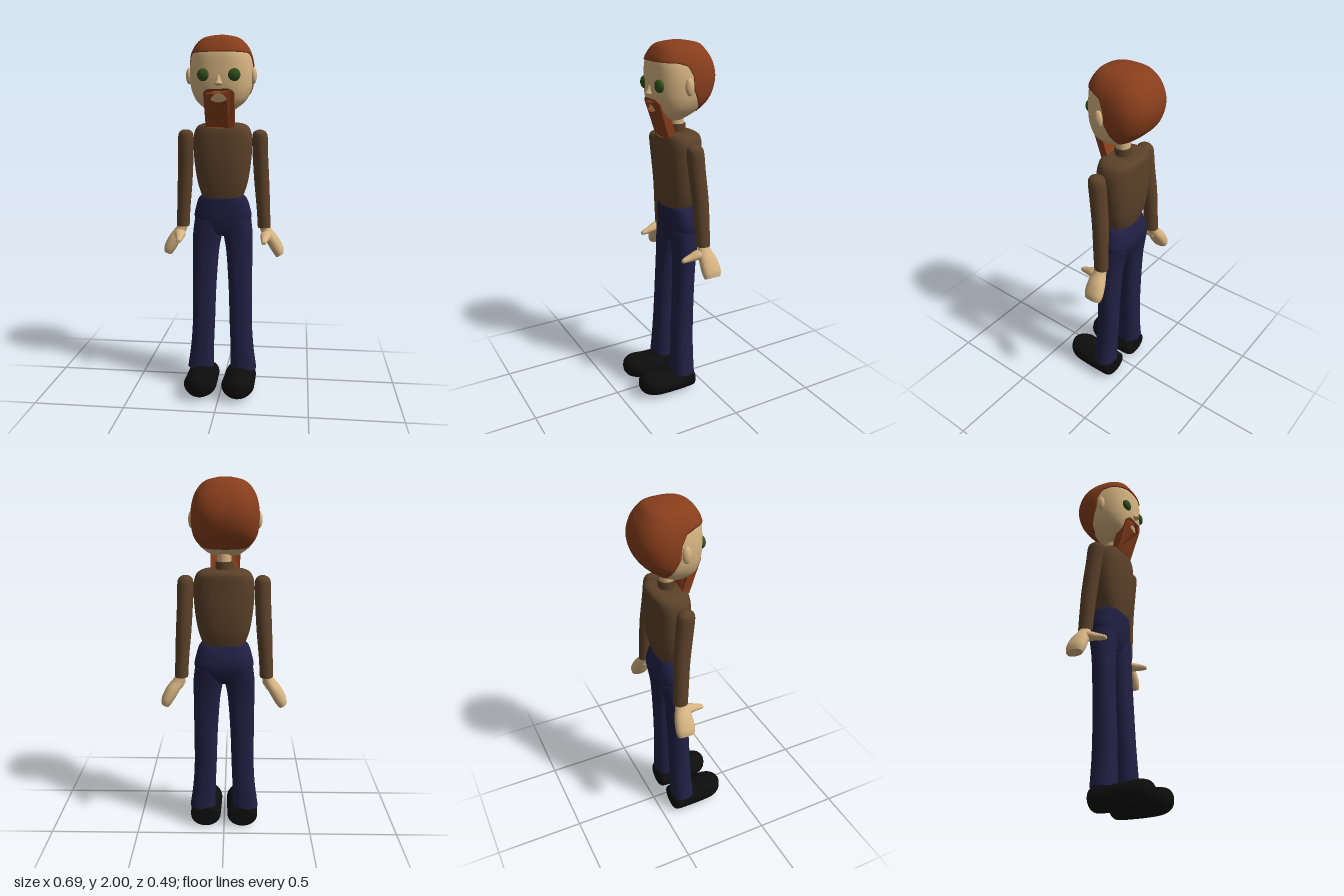
import * as THREE from 'three';

const SKIN = 0xd6b482, HAIR = 0x883e1c, SWEATER = 0x5b4129, TROUSERS = 0x212044, SHOE = 0x0d0d0d, EYE = 0x32501a;

function mesh(name, geometry, color) {
  const m = new THREE.Mesh(geometry, new THREE.MeshStandardMaterial({ color, side: THREE.DoubleSide }));
  m.name = name;
  return m;
}

// Smooth interpolation of section parameters at fractional index u
function sample(rings, u) {
  const last = rings.length - 1, k = Math.min(Math.floor(u), last - 1), t = u - k;
  const at = i => rings[Math.max(0, Math.min(last, i))];
  return rings[k].map((p1, c) => {
    const p2 = at(k + 1)[c], m1 = (p2 - at(k - 1)[c]) / 2, m2 = (at(k + 2)[c] - p1) / 2;
    const t2 = t * t, t3 = t2 * t;
    return p1 * (2 * t3 - 3 * t2 + 1) + m1 * (t3 - 2 * t2 + t) + p2 * (3 * t2 - 2 * t3) + m2 * (t3 - t2);
  });
}

// Point on a rounded-square section [x, y, z, rx, rz, exponent, tilt]
function sectionPoint([x, y, z, rx, rz, n = 2, tilt = 0], a, grow = 1) {
  const c = Math.cos(a), s = Math.sin(a);
  const r = grow / Math.pow(Math.abs(c) ** n + Math.abs(s) ** n, 1 / n);
  return [x + rx * c * r, y + tilt * rx * c * r, z + rz * s * r];
}

// Grid closed around its columns, rows running upward
function grid(rows, cols, point, caps = []) {
  const pos = [], idx = [];
  for (let j = 0; j < rows; j++) for (let i = 0; i < cols; i++) pos.push(...point(i, j));
  for (let j = 0; j < rows - 1; j++) for (let i = 0; i < cols; i++) {
    const a = j * cols + i, b = j * cols + (i + 1) % cols;
    idx.push(a, a + cols, b, b, a + cols, b + cols);
  }
  for (const [row, center, up] of caps) {
    const base = pos.length / 3;
    for (let i = 0; i < cols; i++) pos.push(...point(i, row));
    pos.push(...center);
    for (let i = 0; i < cols; i++) {
      const a = base + i, b = base + (i + 1) % cols;
      idx.push(...(up ? [a, base + cols, b] : [a, b, base + cols]));
    }
  }
  const g = new THREE.BufferGeometry();
  g.setAttribute('position', new THREE.Float32BufferAttribute(pos, 3));
  g.setIndex(idx);
  g.computeVertexNormals();
  return g;
}

function loft(rings, cols = 32, sub = 5) {
  const rows = (rings.length - 1) * sub + 1;
  const cuts = Array.from({ length: rows }, (_, j) => sample(rings, j / sub));
  return grid(rows, cols, (i, j) => sectionPoint(cuts[j], i / cols * Math.PI * 2),
    [[0, cuts[0].slice(0, 3), false], [rows - 1, cuts[rows - 1].slice(0, 3), true]]);
}

// Ring from half width and front/back limits
const span = (x, y, rx, z0, z1, n = 2.6) => [x, y, (z0 + z1) / 2, rx, (z1 - z0) / 2, n];

const HX = -0.006;
const headRings = [
  span(HX, 1.60, 0.075, 0.09, 0.205), span(HX, 1.645, 0.13, 0.02, 0.238),
  span(HX, 1.70, 0.16, -0.04, 0.257), span(HX, 1.76, 0.171, -0.07, 0.265),
  span(HX, 1.83, 0.172, -0.08, 0.265), span(HX, 1.90, 0.158, -0.062, 0.26),
  span(HX, 1.95, 0.13, -0.03, 0.236), span(HX, 1.98, 0.092, 0, 0.205), span(HX, 1.994, 0.035, 0.07, 0.14),
];

// Hair shell: its lower edge runs over the forehead and drops behind the ears
function hairGeometry() {
  const edge = [[-1, 0.9], [-0.7, 1], [-0.25, 2], [0, 3], [0.06, 4], [0.2, 4.7], [0.5, 4.95], [1.01, 5]];
  const cols = 96, rows = 26, top = headRings.length - 1;
  const low = a => {
    const s = sectionPoint([0, 0, 0, 1, 1, 2.6], a)[2];
    const k = Math.max(0, edge.findIndex(e => e[0] > s) - 1), [z0, u0] = edge[k], [z1, u1] = edge[k + 1];
    return u0 + (u1 - u0) * (s - z0) / (z1 - z0);
  };
  return grid(rows, cols, (i, j) => {
    const a = i / cols * Math.PI * 2, l = low(a);
    const u = l + (top - l) * Math.max(0, j - 1) / (rows - 2);
    const p = sectionPoint(sample(headRings, u), a, j === 0 ? 0.97 : 1.03);
    p[1] += 0.004 * u / top;
    return p;
  }, [[rows - 1, [HX, 2, 0.105], true]]);
}

// Beard plate with a mouth opening, leaning back toward its lower end
function beardGeometry() {
  const s = new THREE.Shape();
  s.moveTo(-0.078, 1.51);
  s.quadraticCurveTo(0, 1.495, 0.078, 1.51);
  s.lineTo(0.083, 1.69);
  s.quadraticCurveTo(0.07, 1.71, 0.05, 1.712);
  s.lineTo(-0.05, 1.712);
  s.quadraticCurveTo(-0.07, 1.71, -0.083, 1.69);
  const hole = new THREE.Path();
  hole.moveTo(-0.045, 1.655);
  hole.quadraticCurveTo(-0.03, 1.688, 0, 1.688);
  hole.quadraticCurveTo(0.03, 1.688, 0.045, 1.655);
  hole.quadraticCurveTo(0, 1.628, -0.045, 1.655);
  s.holes.push(hole);
  const g = new THREE.ExtrudeGeometry(s, { depth: 0.045, bevelEnabled: false, curveSegments: 10 });
  const p = g.attributes.position;
  for (let i = 0; i < p.count; i++) {
    const x = p.getX(i), d = Math.max(0, 1.7 - p.getY(i));
    p.setXYZ(i, x + HX, p.getY(i), p.getZ(i) + 0.226 - 0.2 * d - 0.7 * d * d - 2.5 * x * x);
  }
  g.computeVertexNormals();
  return g;
}

function ellipsoid(name, color, x, y, z, rx, ry, rz) {
  const m = mesh(name, new THREE.SphereGeometry(1, 24, 16), color);
  m.position.set(x, y, z);
  m.scale.set(rx, ry, rz);
  return m;
}

export function createModel() {
  const root = new THREE.Group();
  root.name = 'figure';

  // Head
  const head = new THREE.Group();
  head.name = 'head';
  head.add(mesh('face', loft(headRings, 48), SKIN), mesh('hair', hairGeometry(), HAIR), mesh('beard', beardGeometry(), HAIR));
  head.add(mesh('nose', loft([
    [HX, 1.728, 0.255, 0.012, 0.01], [HX, 1.738, 0.262, 0.022, 0.026],
    [HX, 1.755, 0.26, 0.016, 0.02], [HX, 1.79, 0.257, 0.008, 0.008]], 16), SKIN));
  for (const s of [1, -1]) {
    head.add(ellipsoid('eye', EYE, HX + s * 0.079, 1.785, 0.248, 0.036, 0.035, 0.024));
    head.add(ellipsoid('ear', SKIN, HX + s * 0.176, 1.783, 0.128, 0.018, 0.045, 0.024));
  }
  root.add(head);

  // Neck and collar
  root.add(mesh('neck', loft([[0, 1.5, 0.105, 0.038, 0.038], [0, 1.65, 0.108, 0.038, 0.038]], 24), SKIN));
  root.add(mesh('collar', loft([[0, 1.5, 0.103, 0.046, 0.045], [0, 1.57, 0.105, 0.046, 0.045]], 24), SWEATER));

  // Torso and hips
  root.add(mesh('torso', loft([
    span(0, 1.115, 0.112, 0.035, 0.185), span(0, 1.2, 0.14, 0.012, 0.2), span(0, 1.32, 0.158, 0, 0.21),
    span(0, 1.44, 0.163, 0, 0.207), span(0, 1.50, 0.148, 0, 0.2), span(0, 1.523, 0.118, 0.012, 0.187),
    span(0, 1.53, 0.08, 0.04, 0.16)], 40), SWEATER));
  root.add(mesh('hips', loft([
    span(0, 0.9, 0.06, 0.06, 0.15), span(0, 0.935, 0.13, 0.035, 0.165), span(0, 1.0, 0.161, 0.012, 0.178),
    span(0, 1.06, 0.152, 0.014, 0.183), span(0, 1.11, 0.135, 0.028, 0.186), span(0, 1.13, 0.115, 0.04, 0.18)], 40), TROUSERS));

  for (const s of [1, -1]) {
    const side = s > 0 ? 'left' : 'right';

    // Leg with a flared hem
    root.add(mesh(side + 'Leg', loft([
      span(s * 0.125, 0.12, 0.074, 0.07, 0.2, 2.4), span(s * 0.115, 0.25, 0.066, 0.07, 0.195, 2.4),
      span(s * 0.107, 0.4, 0.064, 0.068, 0.188, 2.4), span(s * 0.103, 0.6, 0.067, 0.064, 0.178, 2.4),
      span(s * 0.096, 0.8, 0.074, 0.054, 0.17, 2.4), span(s * 0.088, 0.9, 0.082, 0.04, 0.17, 2.4),
      span(s * 0.08, 0.99, 0.08, 0.02, 0.172, 2.4)]), TROUSERS));

    // Shoe, lofted heel to toe
    const shoe = loft([
      [s * 0.108, 0.07, -0.07, 0.06, 0.05], [s * 0.108, 0.085, -0.07, 0.085, 0.064],
      [s * 0.108, 0.17, -0.07, 0.09, 0.066], [s * 0.107, 0.25, -0.072, 0.091, 0.067],
      [s * 0.106, 0.32, -0.079, 0.09, 0.069], [s * 0.106, 0.37, -0.083, 0.066, 0.058],
      [s * 0.106, 0.395, -0.085, 0.032, 0.034], [s * 0.106, 0.402, -0.085, 0.006, 0.008]]);
    root.add(mesh(side + 'Shoe', shoe.rotateX(Math.PI / 2), SHOE));

    // Sleeve
    root.add(mesh(side + 'Arm', loft([
      [s * 0.233, 0.94, 0.073, 0.036, 0.04], [s * 0.228, 1.05, 0.078, 0.038, 0.042],
      [s * 0.218, 1.2, 0.086, 0.042, 0.045], [s * 0.209, 1.36, 0.104, 0.043, 0.047],
      [s * 0.207, 1.45, 0.113, 0.043, 0.047], [s * 0.206, 1.48, 0.115, 0.034, 0.038],
      [s * 0.206, 1.492, 0.115, 0.014, 0.016]], 28), SWEATER));

    // Hand angled outward, with the thumb pointing forward
    const hand = new THREE.Group();
    hand.name = side + 'Hand';
    hand.add(mesh('palm', loft([
      [s * 0.324, 0.782, 0.065, 0.022, 0.046, 2.4, s * 0.5], [s * 0.311, 0.815, 0.065, 0.03, 0.054, 2.4, s * 0.5],
      [s * 0.28, 0.87, 0.068, 0.033, 0.05, 2.3, s * 0.4], [s * 0.25, 0.915, 0.072, 0.032, 0.038, 2, s * 0.2],
      [s * 0.233, 0.95, 0.073, 0.029, 0.033, 2, 0]], 28), SKIN));
    hand.add(mesh('thumb', loft([
      [s * 0.255, 0.055, -0.895, 0.03, 0.03], [s * 0.247, 0.11, -0.898, 0.033, 0.026],
      [s * 0.241, 0.16, -0.885, 0.021, 0.02], [s * 0.239, 0.197, -0.876, 0.014, 0.013],
      [s * 0.239, 0.205, -0.875, 0.008, 0.008]], 20).rotateX(Math.PI / 2), SKIN));
    root.add(hand);
  }
  return root;
}
